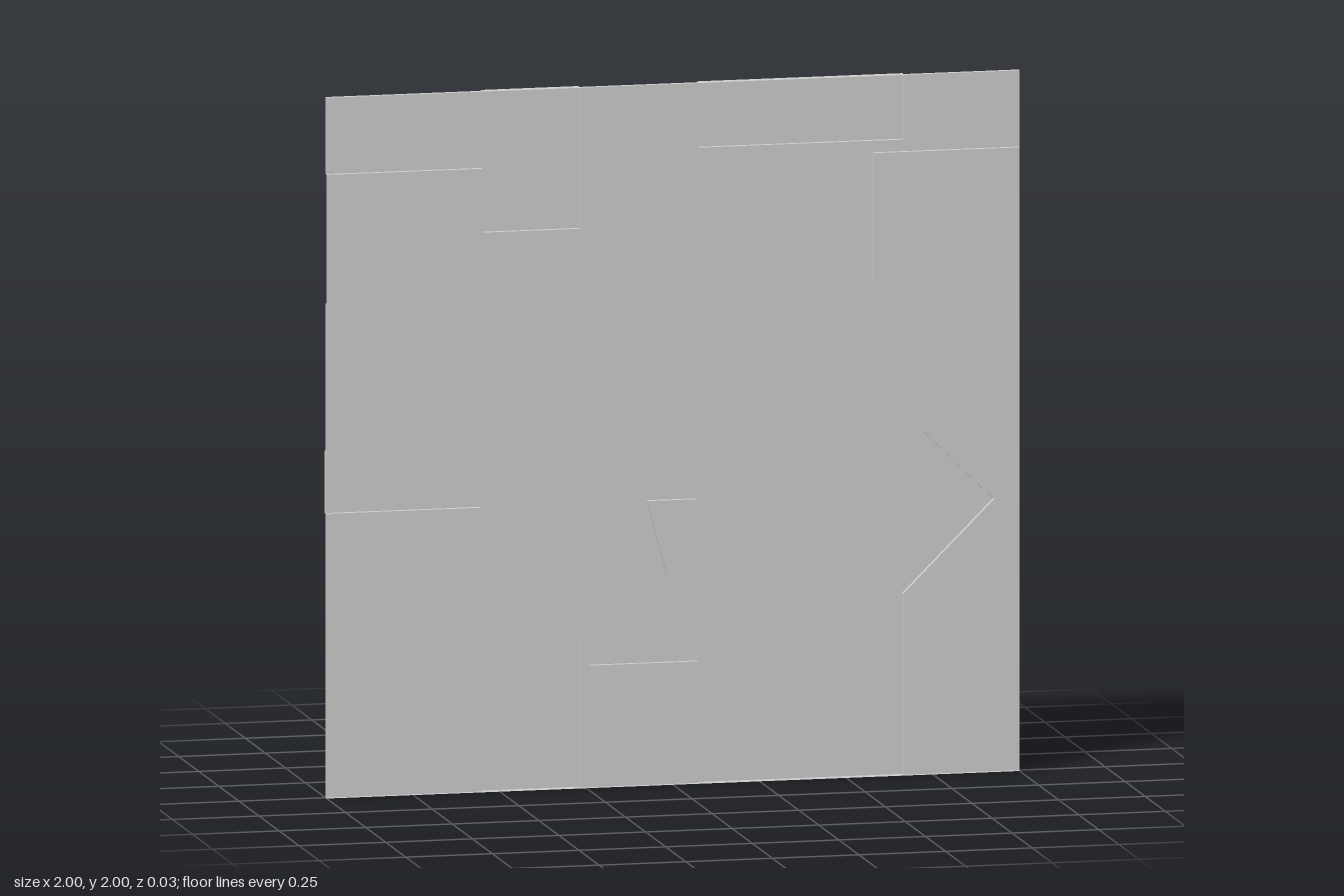
import * as THREE from 'three';

const H = 0.0145; // step between the relief levels

export function createModel() {
  const panelGray = new THREE.MeshStandardMaterial({ color: 0xcccccc, side: THREE.DoubleSide });
  panelGray.name = 'panelGray';
  const model = new THREE.Group();
  model.name = 'reliefPanel';

  const add = (parent, name, geometry) => {
    const mesh = new THREE.Mesh(geometry, panelGray);
    mesh.name = name;
    parent.add(mesh);
  };

  // Flat face of one relief level
  const face = (parent, name, points, z) => {
    const shape = new THREE.Shape(points.map(([x, y]) => new THREE.Vector2(x, y)));
    add(parent, name, new THREE.ShapeGeometry(shape).translate(0, 0, z));
  };

  // Step walls along a path, from z0 to z1
  const walls = (parent, name, points, z0, z1, closed) => {
    const pos = [];
    const count = closed ? points.length : points.length - 1;
    for (let i = 0; i < count; i++) {
      const [ax, ay] = points[i];
      const [bx, by] = points[(i + 1) % points.length];
      pos.push(ax, ay, z0, bx, by, z0, bx, by, z1, ax, ay, z0, bx, by, z1, ax, ay, z1);
    }
    const geometry = new THREE.BufferGeometry();
    geometry.setAttribute('position', new THREE.Float32BufferAttribute(pos, 3));
    geometry.computeVertexNormals();
    add(parent, name, geometry);
  };

  const part = (name) => {
    const group = new THREE.Group();
    group.name = name;
    model.add(group);
    return group;
  };

  // Trapezoid island inside the large channel
  const island = [[-0.07, 0.81], [0.075, 0.81], [0.075, 0.6], [-0.015, 0.6]];

  // Middle level
  const base = part('basePlate');
  face(base, 'mainField', [
    [-1, 0.988], [0.715, 0.988], [0.93, 0.777], [0.668, 0.517], [0.668, 0], [1, 0],
    [1, 1.41], [0.577, 1.41], [0.577, 1.78], [1, 1.78], [1, 2], [0.668, 2],
    [0.668, 1.813], [0.075, 1.813], [0.075, 2], [-0.267, 2], [-0.267, 1.595],
    [-0.55, 1.595], [-0.55, 1.41], [-1, 1.41],
  ], 0);
  face(base, 'upperCornerField', [[-1, 1.78], [-0.55, 1.78], [-0.55, 2], [-1, 2]], 0);
  face(base, 'lowerField', [
    [-1, 0], [-0.55, 0], [-0.55, 0.205], [-0.31, 0.443], [-0.267, 0.443], [-0.267, 0],
    [0.075, 0], [0.075, 0.347], [-0.24, 0.347], [-0.24, 0.507], [-0.55, 0.81], [-1, 0.81],
  ], 0);
  face(base, 'islandField', island, 0);

  // Sunken channels, one step behind the base
  const recesses = {
    largeChannel: [
      [-1, 0.988], [-1, 0.81], [-0.55, 0.81], [-0.24, 0.507], [-0.24, 0.347], [0.075, 0.347],
      [0.075, 0], [0.668, 0], [0.668, 0.517], [0.93, 0.777], [0.715, 0.988],
    ],
    lowerSlot: [[-0.55, 0], [-0.267, 0], [-0.267, 0.443], [-0.31, 0.443], [-0.55, 0.205]],
    upperSlot: [[-0.55, 1.595], [-0.267, 1.595], [-0.267, 2], [-0.55, 2]],
    topNotch: [[0.075, 1.813], [0.668, 1.813], [0.668, 2], [0.075, 2]],
  };
  for (const [name, points] of Object.entries(recesses)) {
    const group = part(name);
    walls(group, name + 'Walls', points, -H, 0, true);
    if (name !== 'largeChannel') {
      face(group, name + 'Floor', points, -H);
      continue;
    }
    // Floor with the island cut out
    const shape = new THREE.Shape(points.map(([x, y]) => new THREE.Vector2(x, y)));
    shape.holes.push(new THREE.Path(island.map(([x, y]) => new THREE.Vector2(x, y))));
    add(group, name + 'Floor', new THREE.ShapeGeometry(shape).translate(0, 0, -H));
    walls(group, 'islandWalls', island, -H, 0, true);
  }

  // Raised side pads, one step in front and open at the panel edge
  for (const [name, edge, inner] of [['rightPad', -1, -0.55], ['leftPad', 1, 0.577]]) {
    const group = part(name);
    const points = [[edge, 1.41], [inner, 1.41], [inner, 1.78], [edge, 1.78]];
    face(group, name + 'Face', points, H);
    walls(group, name + 'Walls', points, 0, H, false);
  }

  // Thin rim around the panel, interrupted by the pads
  const rim = part('rim');
  walls(rim, 'lowerRim', [[-1, 1.41], [-1, 0], [1, 0], [1, 1.41]], 0, H, false);
  walls(rim, 'upperRim', [[1, 1.78], [1, 2], [-1, 2], [-1, 1.78]], 0, H, false);

  return model;
}
